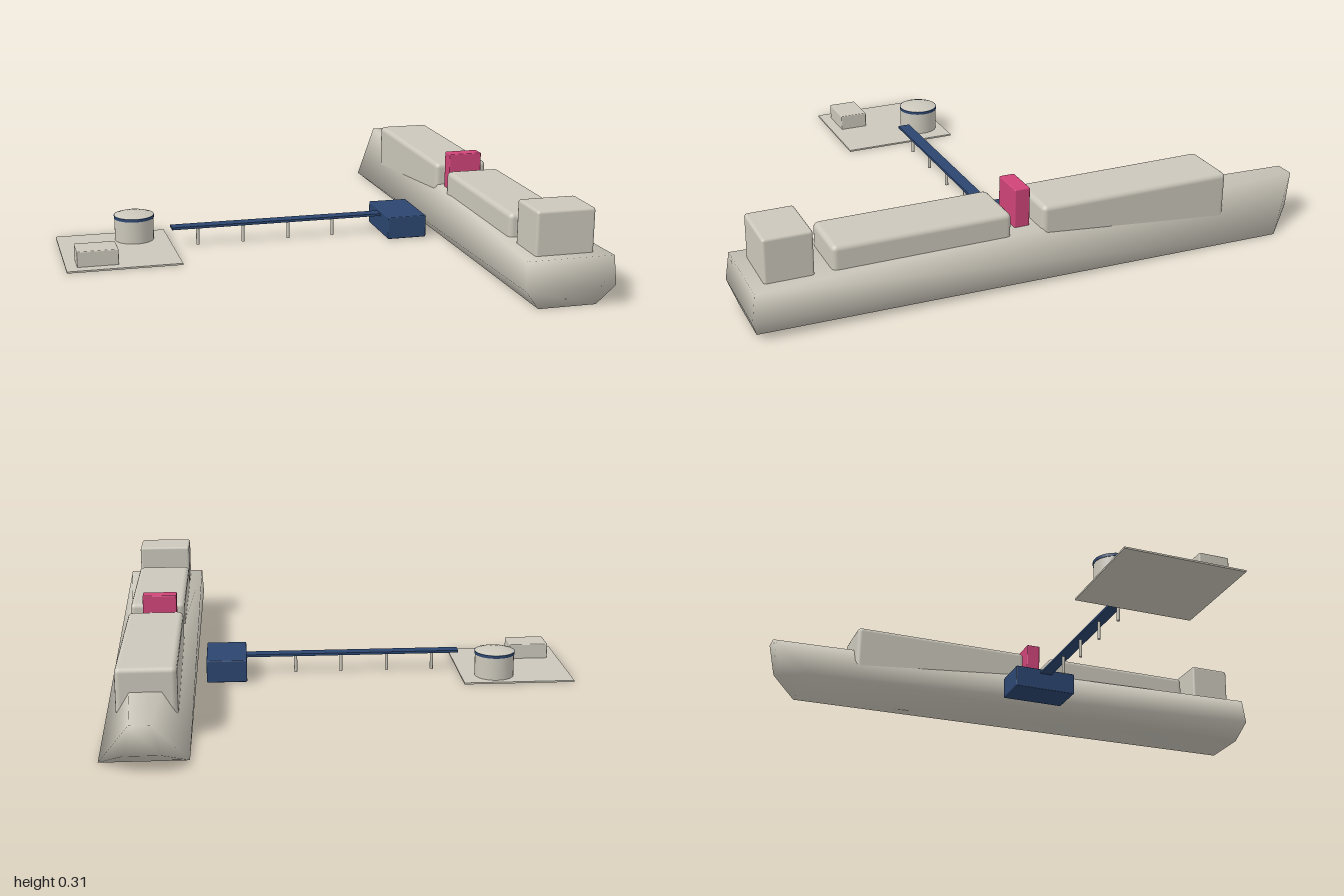
import * as THREE from 'three';
import { RoundedBoxGeometry } from 'three/addons/geometries/RoundedBoxGeometry.js';

const grey = new THREE.MeshStandardMaterial({ color: 0xcbc7bb });
grey.name = 'paleGrey';
const navy = new THREE.MeshStandardMaterial({ color: 0x2c4670 });
navy.name = 'navy';
const pink = new THREE.MeshStandardMaterial({ color: 0xcf4478 });
pink.name = 'pink';

function add(parent, name, geometry, material, x = 0, y = 0, z = 0) {
  const mesh = new THREE.Mesh(geometry, material);
  mesh.name = name;
  mesh.position.set(x, y, z);
  parent.add(mesh);
  return mesh;
}

// Box given by its limits on each axis; a bevel above 0 softens its edges
function block(parent, name, material, [x0, x1], [y0, y1], [z0, z1], bevel = 0) {
  const size = [x1 - x0, y1 - y0, z1 - z0];
  const geometry = bevel
    ? new RoundedBoxGeometry(...size, 2, bevel)
    : new THREE.BoxGeometry(...size);
  return add(parent, name, geometry, material, (x0 + x1) / 2, (y0 + y1) / 2, (z0 + z1) / 2);
}

// Hull lofted straight from the stern section to the raked bow section
function hullGeometry() {
  const half = [
    [0.15, 0.166, 0.987], [0.155, 0.07, 1], [0.1, 0, 0.975],          // stern: deck, knuckle, keel
    [0.034, 0.166, -1], [0.058, 0.056, -0.97], [0.143, 0, -0.87],     // bow: deck, knuckle, keel
  ];
  const points = [...half, ...half.map(([x, y, z]) => [-x, y, z])];
  const index = [];
  // sides, mirrored
  for (const [a, b, c] of [[0, 5, 3], [0, 1, 5], [1, 2, 5], [3, 5, 4]]) {
    index.push(a, b, c, a + 6, c + 6, b + 6);
  }
  // deck, transom, bottom and bow faces across the hull
  for (const [a, b] of [[0, 3], [1, 0], [2, 1], [5, 2], [3, 4], [4, 5]]) {
    index.push(a, b, b + 6, a, b + 6, a + 6);
  }
  const geometry = new THREE.BufferGeometry();
  geometry.setAttribute('position', new THREE.Float32BufferAttribute(points.flat(), 3));
  geometry.setIndex(index);
  geometry.computeVertexNormals();
  return geometry;
}

function createShip() {
  const ship = new THREE.Group();
  ship.name = 'ship';
  add(ship, 'hull', hullGeometry(), grey, 0.684);
  const width = [0.581, 0.783];
  block(ship, 'aftCargoHousing', grey, width, [0.004, 0.247], [0.12, 0.725], 0.018);
  block(ship, 'foreCargoHousing', grey, width, [0.004, 0.247], [-0.685, 0.008], 0.018);
  block(ship, 'bridge', grey, width, [0.004, 0.315], [0.782, 0.943], 0.01);
  block(ship, 'manifold', pink, [0.607, 0.731], [0.004, 0.3], [0.032, 0.086], 0.004);
  return ship;
}

function createJetty() {
  const jetty = new THREE.Group();
  jetty.name = 'jetty';
  block(jetty, 'walkway', navy, [-0.44, 0.36], [0.067, 0.076], [-0.005, 0.04]);
  block(jetty, 'jettyHead', navy, [0.353, 0.5], [0.003, 0.086], [-0.105, 0.137], 0.004);
  for (const x of [-0.342, -0.172, 0, 0.17]) {
    add(jetty, 'post', new THREE.CylinderGeometry(0.006, 0.006, 0.068, 10), grey, x, 0.034, 0.017);
  }
  return jetty;
}

function createShoreStation() {
  const shore = new THREE.Group();
  shore.name = 'shoreStation';
  block(shore, 'pad', grey, [-0.843, -0.437], [0, 0.006], [-0.185, 0.247]);
  block(shore, 'house', grey, [-0.803, -0.657], [0.002, 0.062], [0.1, 0.206], 0.004);

  // Storage tank with a dark rim and a shallow dome
  const tank = new THREE.Group();
  tank.name = 'tank';
  tank.position.set(-0.561, 0, -0.092);
  add(tank, 'tankWall', new THREE.CylinderGeometry(0.072, 0.072, 0.088, 32), grey, 0, 0.046);
  add(tank, 'tankRim', new THREE.CylinderGeometry(0.074, 0.074, 0.011, 32), navy, 0, 0.0945);
  const dome = [[0.072, 0.1], [0.055, 0.106], [0.03, 0.111], [0, 0.113]];
  add(tank, 'tankDome',
    new THREE.LatheGeometry(dome.map(([r, y]) => new THREE.Vector2(r, y)), 32), grey);
  shore.add(tank);
  return shore;
}

export function createModel() {
  const model = new THREE.Group();
  model.name = 'shipTerminal';
  model.add(createShip(), createJetty(), createShoreStation());
  return model;
}
